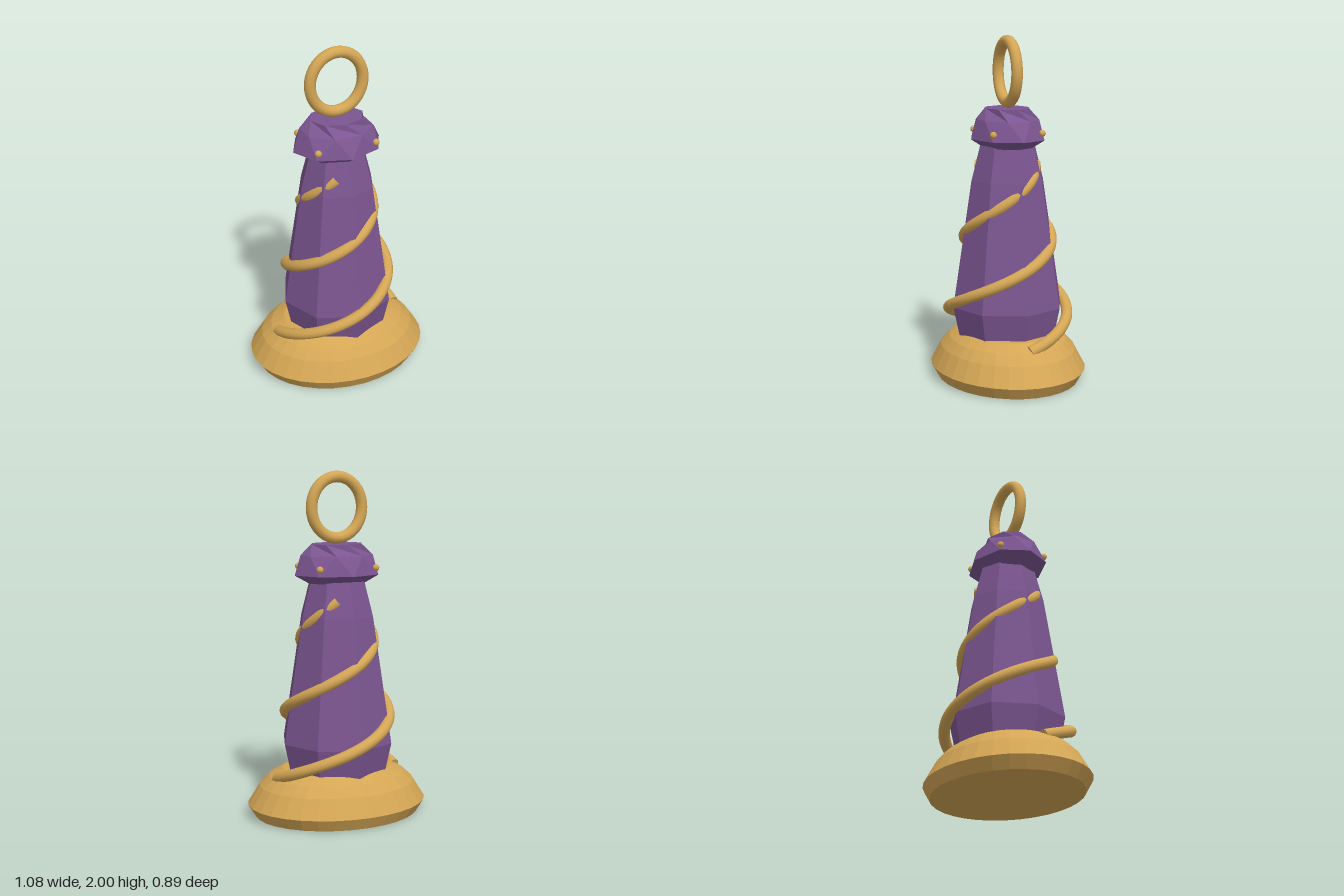
import * as THREE from 'three';
import { toCreasedNormals } from 'three/addons/utils/BufferGeometryUtils.js';

const OVAL = 0.825; // depth of the oval parts relative to their width

// Flat-faceted turned solid from [radius, height] pairs
function turned(profile, sides) {
  return new THREE.LatheGeometry(profile.map(([r, y]) => new THREE.Vector2(r, y)), sides);
}
const facet = (geo) => toCreasedNormals(geo, 0.01);

// Rising spiral that narrows with height
class Spiral extends THREE.Curve {
  getPoint(t, target = new THREE.Vector3()) {
    const turns = 1.18 * t;
    const a = Math.PI * 2 * turns;
    const r = 0.385 - 0.19 * turns;
    return target.set(-r * Math.cos(a), 0.235 + 0.872 * turns, r * Math.sin(a));
  }
}

// Upright closed loop of the hanging ring
class Loop extends THREE.Curve {
  getPoint(t, target = new THREE.Vector3()) {
    const a = Math.PI * 2 * t;
    return target.set(0.16 * Math.cos(a), 1.792 + 0.175 * Math.sin(a), 0);
  }
}

export function createModel() {
  const model = new THREE.Group();
  const gold = new THREE.MeshStandardMaterial({ color: 0xd4a655 });
  gold.name = 'gold';
  const purple = new THREE.MeshStandardMaterial({ color: 0x7b5590 });
  purple.name = 'purple';

  const add = (name, geo, mat, parent = model) => {
    const mesh = new THREE.Mesh(geo, mat);
    mesh.name = name;
    parent.add(mesh);
    return mesh;
  };

  // Oval domed base
  const base = turned([[0, 0], [0.495, 0], [0.54, 0.07], [0.47, 0.18], [0.41, 0.235],
    [0.33, 0.275], [0, 0.278]], 32);
  base.scale(1, 1, OVAL);
  add('base', facet(base), gold);

  // Eight-sided tapering body
  add('body', facet(turned([[0, 0.2], [0.285, 0.2], [0.335, 0.43], [0.22, 1.17],
    [0.165, 1.38], [0, 1.38]], 8)), purple);

  // Oval gem-cut collar, with its upper ring turned by half a side
  const collar = turned([[0, 1.36], [0.175, 1.36], [0.267, 1.41], [0.215, 1.52],
    [0.16, 1.585], [0, 1.585]], 8);
  const pos = collar.attributes.position;
  const v = new THREE.Vector3();
  const up = new THREE.Vector3(0, 1, 0);
  for (let i = 0; i < pos.count; i++) {
    v.fromBufferAttribute(pos, i);
    if (Math.abs(v.y - 1.52) < 0.01) v.applyAxisAngle(up, Math.PI / 8);
    pos.setXYZ(i, v.x, v.y, v.z * OVAL);
  }
  add('collar', facet(collar), purple);

  // Four beads on the collar
  for (const sx of [-1, 1]) {
    for (const sz of [-1, 1]) {
      add('bead', new THREE.SphereGeometry(0.02, 12, 8), gold)
        .position.set(sx * 0.177, 1.45, sz * 0.147);
    }
  }

  // Two opposite spiral bands with closed ends
  const path = new Spiral();
  for (const turn of [0, Math.PI]) {
    const band = new THREE.Group();
    band.name = 'spiralBand';
    band.rotation.y = turn;
    add('spiralTube', new THREE.TubeGeometry(path, 96, 0.033, 12, false), gold, band);
    for (const t of [0, 1]) {
      const cap = add('spiralEnd', new THREE.CircleGeometry(0.033, 12), gold, band);
      const dir = path.getTangent(t).multiplyScalar(t ? 1 : -1);
      cap.position.copy(path.getPoint(t));
      cap.quaternion.setFromUnitVectors(new THREE.Vector3(0, 0, 1), dir);
    }
    model.add(band);
  }

  // Hanging ring on top
  add('hangingRing', new THREE.TubeGeometry(new Loop(), 48, 0.033, 12, true), gold);

  return model;
}
